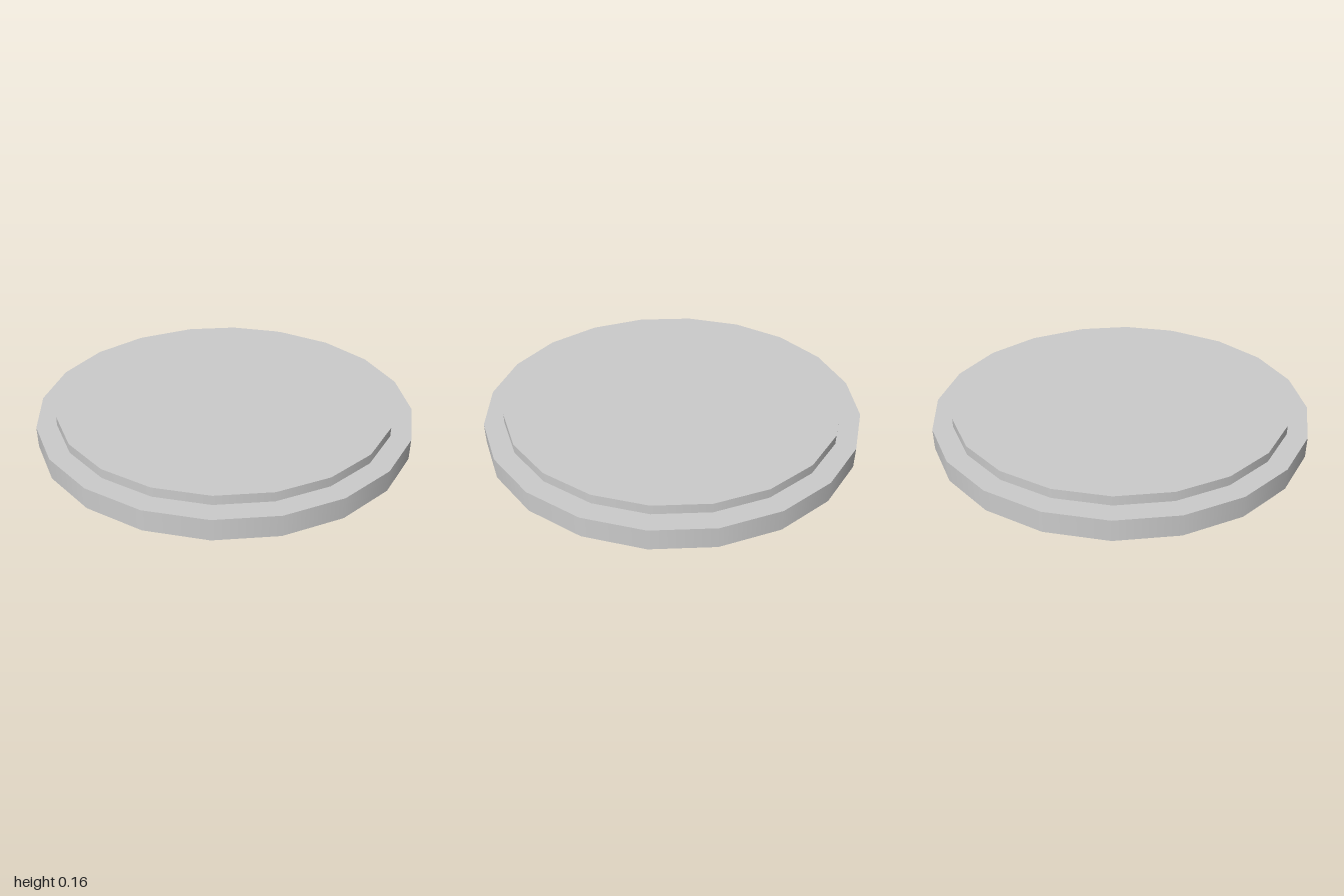
import * as THREE from 'three';

const SIDES = 20;

export function createModel() {
  const model = new THREE.Group();
  const material = new THREE.MeshStandardMaterial({ color: 0xcccccc });

  // A 20-sided disc with smooth walls, resting at height y
  function addDisc(name, radius, y, height) {
    const disc = new THREE.Mesh(
      new THREE.CylinderGeometry(radius, radius, height, SIDES), material);
    disc.name = name;
    disc.position.y = y + height / 2;
    model.add(disc);
  }

  // Wide base with a thinner raised disc on top
  addDisc('baseDisc', 1, 0, 0.112);
  addDisc('raisedDisc', 0.895, 0.112, 0.05);

  return model;
}
